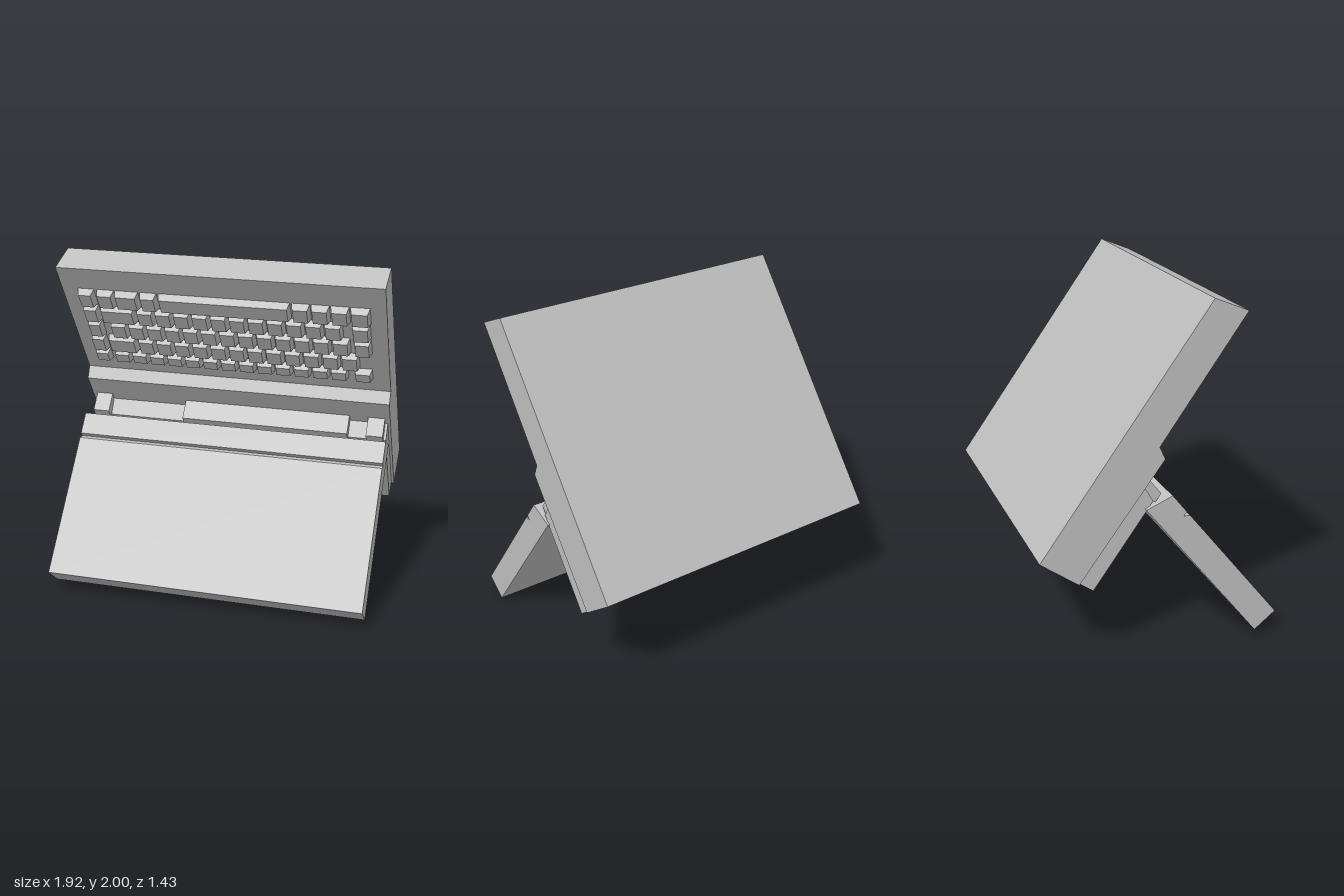
import * as THREE from 'three';

const V = (x, y, z) => new THREE.Vector3(x, y, z).normalize();

// Extrude a (y, z) profile along x from x0 to x1
function prism(name, profile, x0, x1, material) {
  const shape = new THREE.Shape(profile.map(([a, b]) => new THREE.Vector2(a, b)));
  const geo = new THREE.ExtrudeGeometry(shape, { depth: x1 - x0, bevelEnabled: false });
  geo.applyMatrix4(new THREE.Matrix4().makeBasis(V(0, 1, 0), V(0, 0, 1), V(1, 0, 0)));
  geo.translate(x0, 0, 0);
  const mesh = new THREE.Mesh(geo, material);
  mesh.name = name;
  return mesh;
}

// Tapered key cap: base on the deck at z = 0, top shrunk
function keyCap(x0, x1, y0, y1, h, material) {
  const w = x1 - x0, d = y1 - y0;
  const geo = new THREE.BoxGeometry(w, d, h);
  const p = geo.attributes.position;
  for (let i = 0; i < p.count; i++) {
    if (p.getZ(i) > 0) {
      p.setX(i, p.getX(i) * (1 - 0.022 / w));
      p.setY(i, p.getY(i) * (1 - 0.022 / d));
    }
  }
  geo.computeVertexNormals();
  geo.translate((x0 + x1) / 2, (y0 + y1) / 2, h / 2);
  const mesh = new THREE.Mesh(geo, material);
  mesh.name = 'key';
  return mesh;
}

// Group whose local axes are turned to the given directions
function tilted(name, xAxis, yAxis, origin) {
  const g = new THREE.Group();
  g.name = name;
  const z = xAxis.clone().cross(yAxis).normalize();
  const y = z.clone().cross(xAxis).normalize();
  g.quaternion.setFromRotationMatrix(new THREE.Matrix4().makeBasis(xAxis, y, z));
  g.position.copy(origin);
  return g;
}

export function createModel() {
  const grey = new THREE.MeshStandardMaterial({ color: 0xbfbfbf });
  grey.name = 'grey';
  const model = new THREE.Group();
  model.name = 'laptop';
  const side = V(1, -0.017, -0.02);

  // Base: y runs towards the front edge, z out of the key deck
  const base = tilted('base', side, V(0.024, 0.814, 0.581), new THREE.Vector3());
  model.add(base);
  base.add(prism('baseBody', [
    [0.107, -0.927], [1.777, -0.927], [1.825, -0.722], [0.97, -0.716],
    [0.93, -0.648], [0.107, -0.66],
  ], -0.957, 0.916, grey));
  base.add(prism('rearBlock', [
    [0.11, -0.68], [0.74, -0.68], [0.745, -0.655], [0.70, -0.557], [0.11, -0.557],
  ], -0.935, 0.9, grey));

  // Hinge covers
  for (const [x0, x1] of [[-0.927, -0.827], [-0.347, 0.673], [0.785, 0.885]]) {
    base.add(prism('hingeCover', [
      [0.69, -0.67], [0.79, -0.67], [0.79, -0.65], [0.757, -0.537], [0.70, -0.537],
    ], x0, x1, grey));
  }

  // Keyboard: [start, end, number of equal keys] spans per row
  const rows = [
    [[-0.83, -0.73, 1], [-0.72, -0.61, 1], [-0.61, -0.465, 1], [-0.46, -0.355, 1],
      [-0.35, 0.415, 1], [0.418, 0.745, 3], [0.645 + 0.1, 0.86, 1]],
    [[-0.83, -0.73, 1], [-0.725, -0.51, 1], [-0.505, 0.70, 11], [0.745, 0.855, 1]],
    [[-0.83, -0.735, 1], [-0.69, 0.735, 13], [0.75, 0.855, 1]],
    [[-0.84, -0.74, 1], [-0.73, -0.55, 1], [-0.545, 0.78, 12]],
    [[-0.84, -0.74, 1], [-0.72, 0.71, 13], [0.74, 0.85, 1]],
  ];
  const keyboard = new THREE.Group();
  keyboard.name = 'keyboard';
  keyboard.position.set(-0.03, 0, -0.72);
  base.add(keyboard);
  rows.forEach((spans, r) => {
    const front = 1.668 - 0.127 * r;
    const depth = r === 4 ? 0.085 : 0.118;
    for (const [a, b, n] of spans) {
      const pitch = (b - a) / n;
      for (let i = 0; i < n; i++) {
        keyboard.add(keyCap(a + i * pitch + 0.003, a + (i + 1) * pitch - 0.003,
          front - depth, front, 0.045, grey));
      }
    }
  });

  // Screen lid: y runs up to the hinge, z out of the screen face, with a groove across
  const lid = tilted('lid', side, V(0.001, 0.78, -0.625), new THREE.Vector3(-0.007, 0.92, 0.057));
  model.add(lid);
  lid.add(prism('screenLid', [
    [0, 0], [0.043, -0.158], [-1.024, -0.16], [-1.024, 0],
    [-0.165, 0], [-0.14, -0.03], [-0.135, 0],
  ], -0.936, 0.936, grey));

  return model;
}
